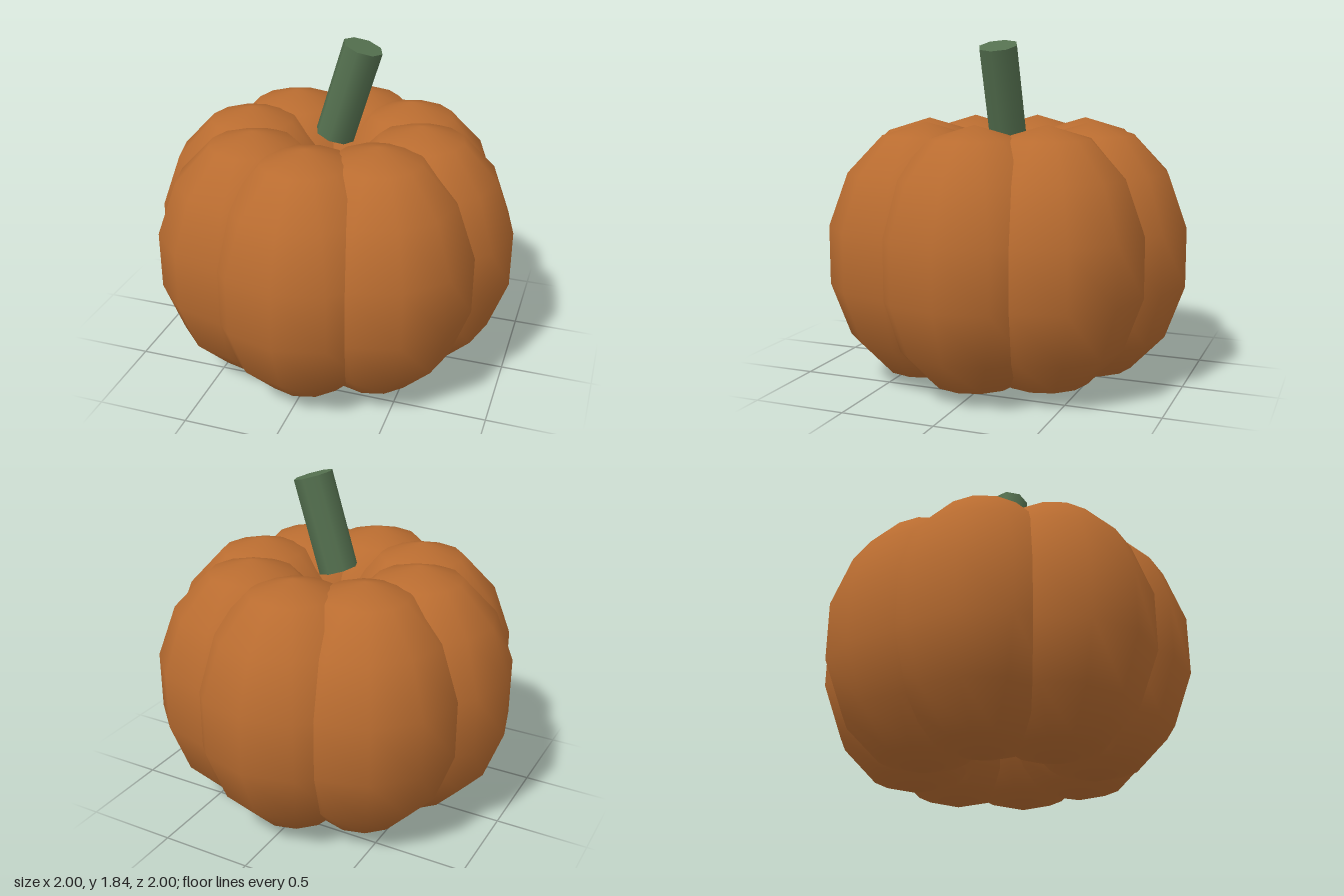
import * as THREE from 'three';

export function createModel() {
  const model = new THREE.Group();
  model.name = 'pumpkin';

  const orange = new THREE.MeshStandardMaterial({ color: 0xb96c30 });
  orange.name = 'pumpkin orange';
  const green = new THREE.MeshStandardMaterial({ color: 0x54704f });
  green.name = 'stem green';

  // Eight overlapping lobes in a ring, all facing the same way
  const lobes = new THREE.Group();
  lobes.name = 'lobes';
  const lobeGeometry = new THREE.SphereGeometry(1, 12, 7).scale(0.533, 0.704, 0.533);
  const ringRadius = 0.48;
  for (let i = 0; i < 8; i++) {
    const angle = (i * Math.PI) / 4;
    const lobe = new THREE.Mesh(lobeGeometry, orange);
    lobe.name = `lobe${i + 1}`;
    lobe.position.set(Math.cos(angle) * ringRadius, 0.706, Math.sin(angle) * ringRadius);
    lobes.add(lobe);
  }
  model.add(lobes);

  // Eight-sided stem leaning toward +x
  const stem = new THREE.Mesh(new THREE.CylinderGeometry(0.108, 0.108, 0.525, 8), green);
  stem.name = 'stem';
  stem.position.set(0.077, 1.558, 0);
  stem.rotation.z = -0.295;
  model.add(stem);

  return model;
}
